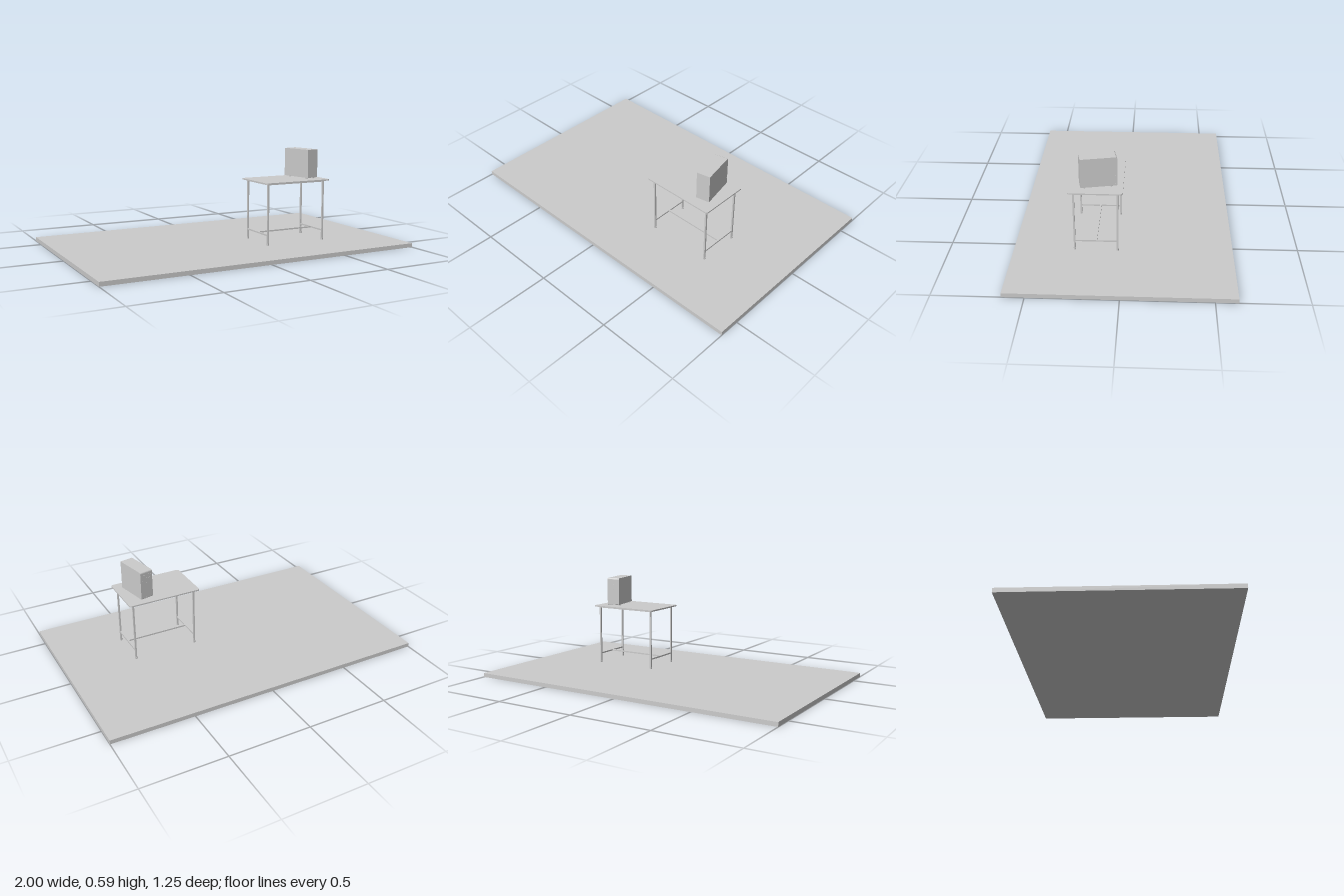
import * as THREE from 'three';

const material = new THREE.MeshStandardMaterial({ color: 0xcccccc });

function add(parent, name, geometry, x = 0, y = 0, z = 0) {
  const mesh = new THREE.Mesh(geometry, material);
  mesh.name = name;
  mesh.position.set(x, y, z);
  parent.add(mesh);
  return mesh;
}

const box = (w, h, d) => new THREE.BoxGeometry(w, h, d);

function roundedRect(w, d, r) {
  const s = new THREE.Shape(), x = w / 2, y = d / 2;
  s.absarc(x - r, y - r, r, 0, Math.PI / 2);
  s.absarc(-x + r, y - r, r, Math.PI / 2, Math.PI);
  s.absarc(-x + r, -y + r, r, Math.PI, Math.PI * 1.5);
  s.absarc(x - r, -y + r, r, Math.PI * 1.5, Math.PI * 2);
  return s;
}

// Table centred on its own origin, standing on y = 0
function createTable() {
  const table = new THREE.Group();
  table.name = 'table';
  const lx = 0.197, lz = 0.122, t = 0.01;

  const top = new THREE.ExtrudeGeometry(roundedRect(0.454, 0.305, 0.015),
    { depth: 0.008, bevelEnabled: false, curveSegments: 6 });
  top.rotateX(-Math.PI / 2);
  add(table, 'tableTop', top, 0, 0.375, 0);

  for (const sx of [-1, 1]) {
    for (const sz of [-1, 1]) {
      add(table, 'leg', box(t, 0.375, t), sx * lx, 0.1875, sz * lz);
      add(table, 'legFoot', new THREE.CylinderGeometry(0.007, 0.007, 0.012, 12), sx * lx, 0.006, sz * lz);
    }
    add(table, 'sideApron', box(t, 0.008, 2 * lz - t), sx * lx, 0.371, 0);
    add(table, 'sideStretcher', box(t, 0.009, 2 * lz - t), sx * lx, 0.062, 0);
  }
  for (const sz of [-1, 1]) {
    add(table, 'longApron', box(2 * lx - t, 0.008, t), 0, 0.371, sz * lz);
  }
  add(table, 'middleStretcher', box(2 * lx - t, 0.009, t), 0, 0.062, 0);
  return table;
}

// Computer tower with its bezel facing local -z
function createTower() {
  const tower = new THREE.Group();
  tower.name = 'computerTower';
  const w = 0.082, h = 0.174, d = 0.206, base = 0.008, bezel = 0.013;

  add(tower, 'case', box(w, h, d - bezel), 0, base + h / 2, bezel / 2);

  // Bezel profile, softened on its front edges
  const c = 0.007, s = new THREE.Shape();
  s.moveTo(0, 0);
  s.lineTo(bezel - c / 2, 0);
  s.quadraticCurveTo(bezel, 0, bezel, c / 2);
  s.lineTo(bezel, h - c * 1.4);
  s.quadraticCurveTo(bezel, h - c * 0.3, bezel - c, h);
  s.lineTo(0, h);
  const panel = new THREE.ExtrudeGeometry(s, { depth: w, bevelEnabled: false, curveSegments: 5 });
  panel.translate(0, 0, -w / 2).rotateY(Math.PI / 2);
  add(tower, 'frontBezel', panel, 0, base, -d / 2 + bezel);

  // Drive doors, power button and port strip
  const face = -d / 2;
  add(tower, 'driveDoor', box(0.06, 0.015, 0.002), 0, base + 0.145, face);
  add(tower, 'driveDoor', box(0.06, 0.015, 0.002), 0, base + 0.124, face);
  const button = new THREE.CylinderGeometry(0.005, 0.005, 0.003, 16).rotateX(Math.PI / 2);
  add(tower, 'powerButton', button, 0, base + 0.095, face);
  add(tower, 'portStrip', box(0.009, 0.055, 0.002), 0, base + 0.037, face);

  // Vent studs down both sides of the bezel
  const stud = new THREE.CylinderGeometry(0.0025, 0.0025, 0.001, 8).rotateZ(Math.PI / 2);
  for (const sx of [-1, 1]) {
    for (let i = 0; i < 6; i++) {
      add(tower, 'sideVent', stud, sx * w / 2, base + 0.012 + i * 0.01, face + 0.008);
    }
    for (const z of [-0.07, 0.08]) {
      add(tower, 'towerFoot', new THREE.CylinderGeometry(0.006, 0.006, base, 12), sx * 0.028, base / 2, z);
    }
  }
  return tower;
}

export function createModel() {
  const model = new THREE.Group();
  model.name = 'tableWithComputer';
  add(model, 'floorSlab', box(2, 0.025, 1.246), 0, 0.0125, 0);

  const table = createTable();
  table.position.set(0.377, 0.025, 0.153);
  model.add(table);

  const tower = createTower();
  tower.position.set(0.497, 0.408, 0.142);
  tower.rotation.y = 0.2;
  model.add(tower);
  return model;
}
